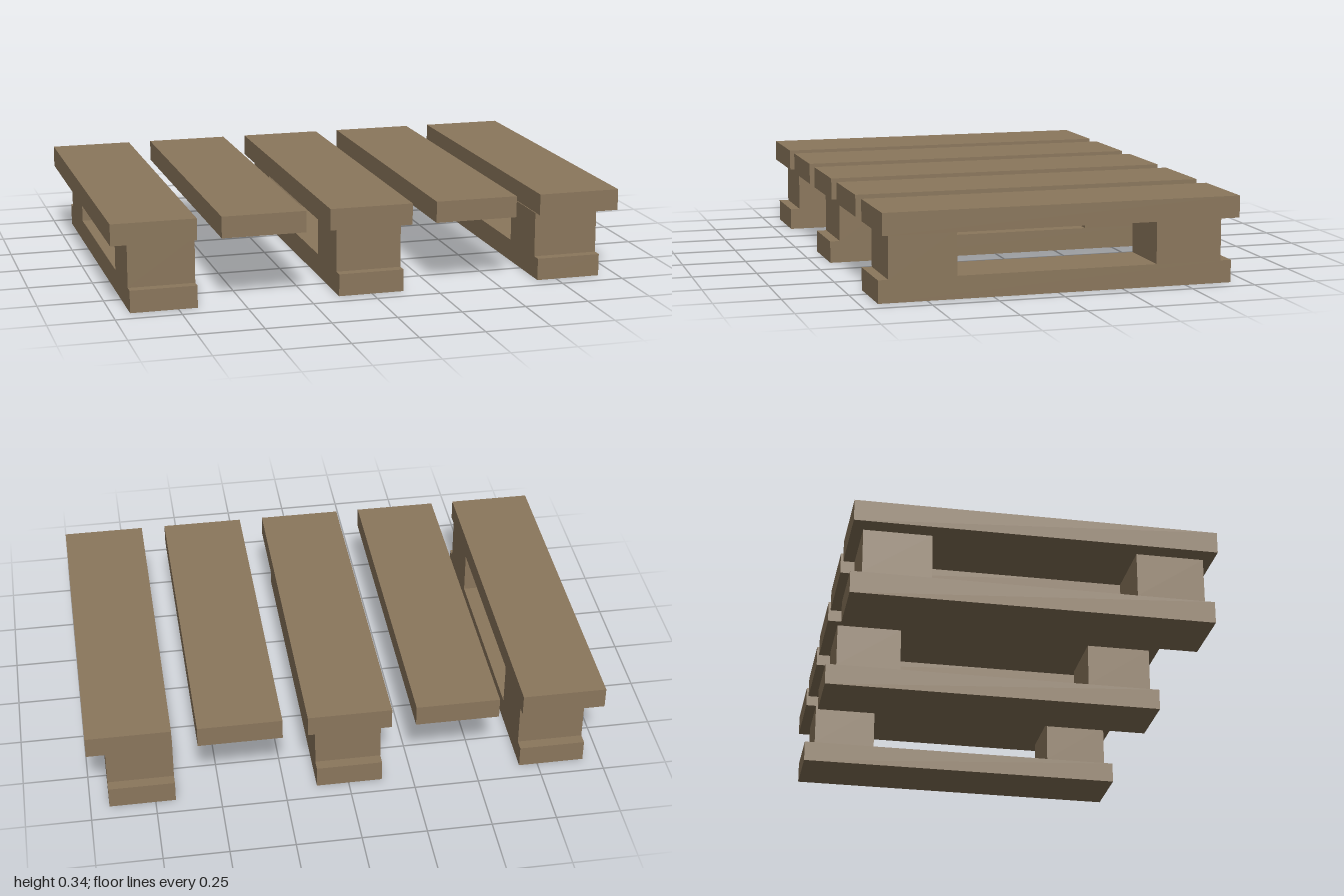
import * as THREE from 'three';

const WOOD = new THREE.MeshStandardMaterial({ color: 0x8b775c, flatShading: true });
const LENGTH = 1.366;

function addBox(parent, name, [w, h, d], [x, y, z]) {
  const mesh = new THREE.Mesh(new THREE.BoxGeometry(w, h, d), WOOD);
  mesh.name = name;
  mesh.position.set(x, y, z);
  parent.add(mesh);
}

export function createModel() {
  const pallet = new THREE.Group();
  pallet.name = 'pallet';

  // Five deck boards
  const deck = new THREE.Group();
  deck.name = 'deck';
  for (const x of [-0.838, -0.421, -0.003, 0.417, 0.838]) {
    addBox(deck, 'deckBoard', [0.324, 0.083, LENGTH], [x, 0.301, 0]);
  }
  pallet.add(deck);

  // Three skids, each a bottom runner with a spacer block near either end
  for (const x of [-0.805, -0.003, 0.8]) {
    const skid = new THREE.Group();
    skid.name = 'skid';
    skid.position.x = x;
    addBox(skid, 'runner', [0.255, 0.086, LENGTH], [0, 0.043, 0]);
    for (const z of [-0.512, 0.516]) {
      addBox(skid, 'spacerBlock', [0.255, 0.174, 0.257], [0, 0.173, z]);
    }
    pallet.add(skid);
  }
  return pallet;
}
